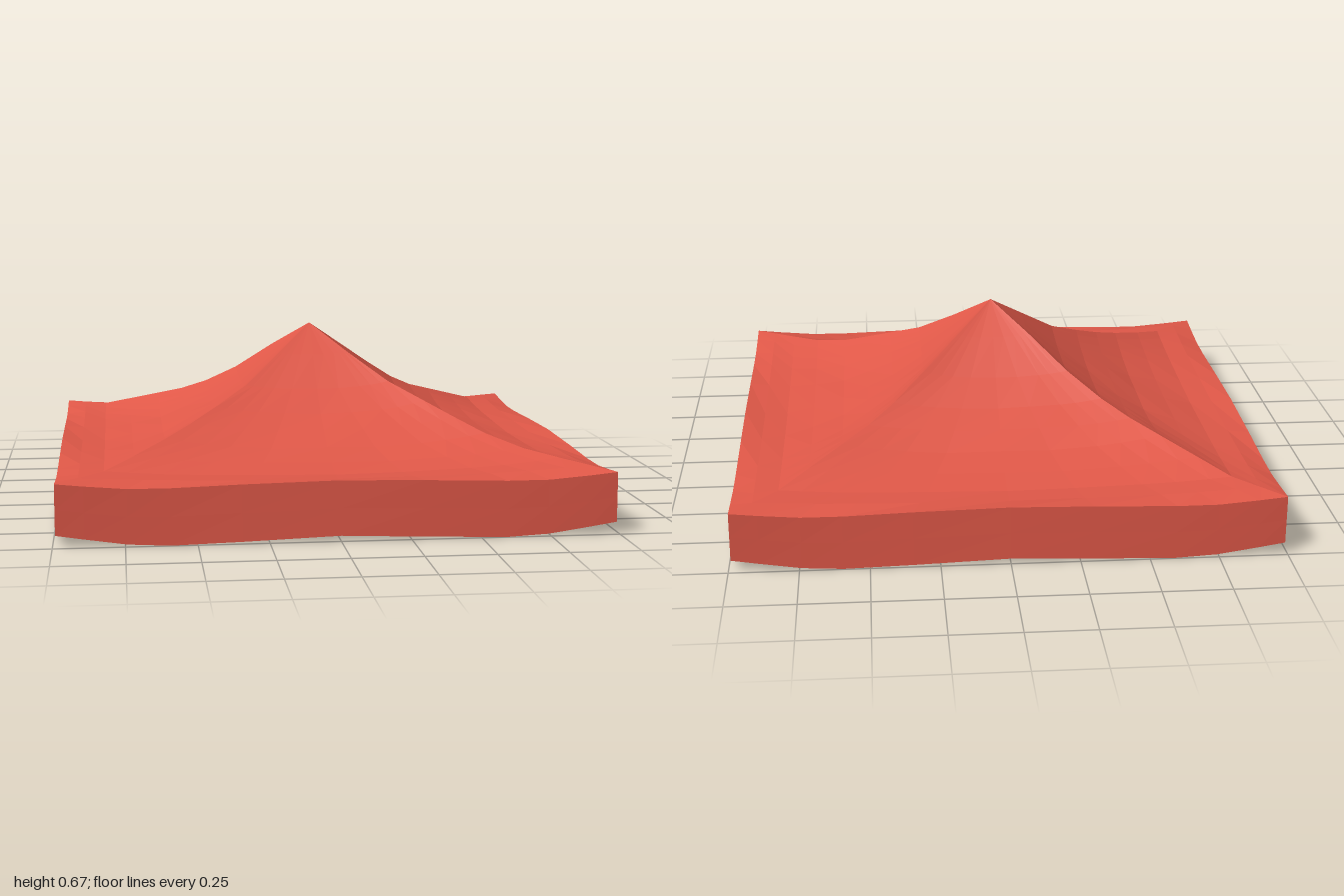
import * as THREE from 'three';

const HALF = 0.99;
const PEAK = 0.67;
const ACROSS = [-1, -0.9, -0.75, -0.6, -0.35, 0, 0.3, 0.6, 0.75, 0.9, 1];

// Linear interpolation through [position, value] pairs
function sample(points, p) {
  for (let i = 1; i < points.length; i++) {
    const [p0, v0] = points[i - 1], [p1, v1] = points[i];
    if (p <= p1) return v0 + (v1 - v0) * (p - p0) / (p1 - p0);
  }
  return points[points.length - 1][1];
}

// Ridge heights from the peak to each corner: front right, front left, back left, back right
const RIDGES = [
  [[0, PEAK], [0.3, 0.442], [0.5, 0.35], [0.65, 0.29], [0.83, 0.235], [1, 0.225]],
  [[0, PEAK], [0.25, 0.48], [0.34, 0.435], [0.59, 0.31], [0.73, 0.265], [1, 0.225]],
  [[0, PEAK], [0.14, 0.572], [0.3, 0.46], [0.45, 0.362], [0.83, 0.235], [1, 0.225]],
  [[0, PEAK], [0.14, 0.57], [0.3, 0.445], [0.45, 0.36], [0.83, 0.235], [1, 0.225]],
];

// Heights of the cloth midline, the eave and the hem
const MIDDLE = [[0, PEAK], [0.13, 0.565], [0.28, 0.44], [0.4, 0.36], [0.6, 0.262], [0.8, 0.208], [0.9, 0.205], [1, 0.217]];
const EAVE = [[0, 0.217], [0.35, 0.21], [0.7, 0.199], [0.85, 0.21], [1, 0.225]];
const HEM = [[0, 0.022], [0.35, 0.009], [0.65, 0], [0.75, 0.009], [0.9, 0.03], [1, 0.045]];

// Faceted sheet from a grid of points
function sheet(rows, point) {
  const pos = [];
  const add = (...pts) => pts.forEach((p) => pos.push(...p));
  for (let r = 0; r < rows.length - 1; r++) {
    for (let c = 0; c < ACROSS.length - 1; c++) {
      const a = point(rows[r], ACROSS[c]), b = point(rows[r + 1], ACROSS[c]);
      const d = point(rows[r], ACROSS[c + 1]), e = point(rows[r + 1], ACROSS[c + 1]);
      if (a[0] !== d[0]) add(a, b, d); // rows that meet at the peak need one triangle
      add(d, b, e);
    }
  }
  const geo = new THREE.BufferGeometry();
  geo.setAttribute('position', new THREE.Float32BufferAttribute(pos, 3));
  geo.computeVertexNormals();
  return geo;
}

// Roof cloth sagging away from two sharp ridges, with faint creases
function roofPoint(t, u, ridges) {
  const k = Math.abs(u);
  if (t === 0) return [0, PEAK, 0];
  if (t === 1) return [u * HALF, sample(EAVE, k), HALF];
  const ridge = sample(ridges[u < 0 ? 0 : 1], t), mid = sample(MIDDLE, t);
  const crease = Math.sin(u * 7 + t * 13) * 0.02 * (1 - k) * t * t * (1 - t);
  return [u * t * HALF, mid + (ridge - mid) * Math.pow(k, 2.6) + crease, t * HALF];
}

// Hanging border, bowing out slightly halfway along
function valancePoint(t, u) {
  const k = Math.abs(u);
  const top = sample(EAVE, k), hem = sample(HEM, k);
  return [u * HALF, top + (hem - top) * t, HALF + 0.01 * t * (1 - k * k)];
}

export function createModel() {
  const cloth = new THREE.MeshStandardMaterial({ color: 0xe05848, flatShading: true, side: THREE.DoubleSide });
  cloth.name = 'red cloth';

  const valance = sheet([0, 0.5, 1], valancePoint);
  const rows = [0, 0.14, 0.28, 0.4, 0.5, 0.6, 0.72, 0.83, 0.92, 1];

  const canopy = new THREE.Group();
  canopy.name = 'canopy';
  ['front', 'left', 'back', 'right'].forEach((side, i) => {
    const ridges = [RIDGES[i], RIDGES[(i + 1) % 4]];
    const roof = sheet(rows, (t, u) => roofPoint(t, u, ridges));
    for (const [part, geo] of [['RoofPanel', roof], ['Valance', valance]]) {
      const mesh = new THREE.Mesh(geo, cloth);
      mesh.name = side + part;
      mesh.rotation.y = i * Math.PI / 2;
      canopy.add(mesh);
    }
  });
  return canopy;
}
